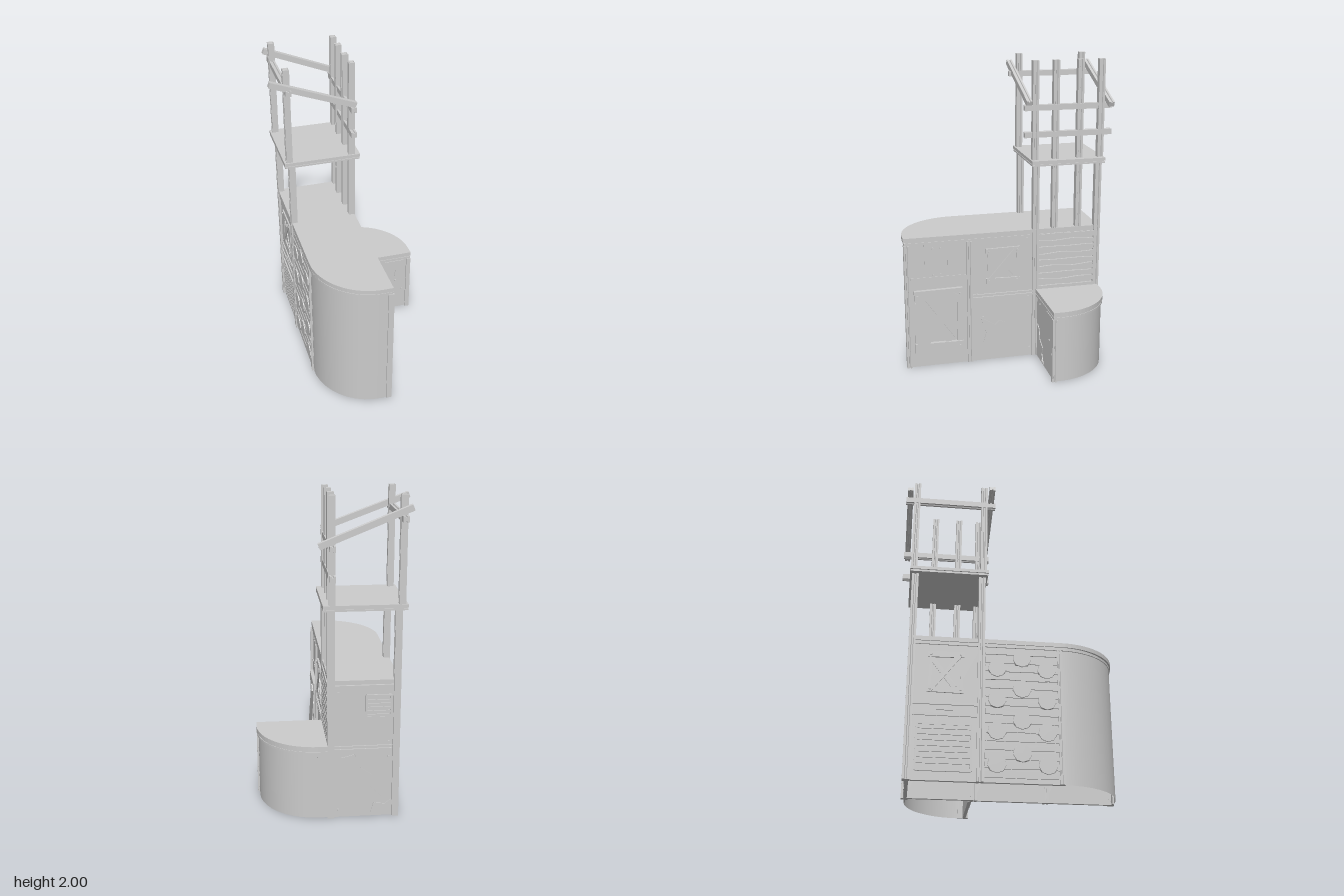
import * as THREE from 'three';

const grey = new THREE.MeshStandardMaterial({ color: 0xcccccc, flatShading: true });
const smooth = new THREE.MeshStandardMaterial({ color: 0xcccccc, side: THREE.DoubleSide });

function add(parent, name, geo, x = 0, y = 0, z = 0, mat = grey) {
  const m = new THREE.Mesh(geo, mat);
  m.name = name;
  m.position.set(x, y, z);
  parent.add(m);
  return m;
}

const box = (parent, name, w, h, d, x, y, z) => add(parent, name, new THREE.BoxGeometry(w, h, d), x, y, z);

const poly = (pts) => new THREE.Shape(pts.map(([x, y]) => new THREE.Vector2(x, y)));
const extrude = (shape, depth) =>
  new THREE.ExtrudeGeometry(shape, { depth, bevelEnabled: false, curveSegments: 9 });

// Grooved bar between two points; the groove runs along both x or both y sides of its section
function beam(parent, name, a, b, size = 0.04, grooveX = false) {
  const s = size / 2, t = s * 0.35, n = s * 0.6;
  let pts = [[-s, -s], [-t, -s], [-t * 0.6, -n], [t * 0.6, -n], [t, -s], [s, -s],
    [s, s], [t, s], [t * 0.6, n], [-t * 0.6, n], [-t, s], [-s, s]];
  if (grooveX) pts = pts.map(([x, y]) => [-y, x]);
  const from = new THREE.Vector3(...a), to = new THREE.Vector3(...b);
  const m = add(parent, name, extrude(poly(pts), from.distanceTo(to)), ...a);
  m.lookAt(to);
  return m;
}
const post = (parent, name, x, z, y0, y1, size) => beam(parent, name, [x, y0, z], [x, y1, z], size, true);

// Slab from a plan outline with a recessed middle band
function slab(parent, name, shape, y, h, cx, cz) {
  const g = new THREE.Group();
  g.name = name;
  for (const [y0, hh, s] of [[0, 0.3, 0.99], [0.3, 0.15, 0.97], [0.45, 0.55, 1]]) {
    const geo = extrude(shape, hh * h);
    geo.rotateX(Math.PI / 2);
    geo.translate(-cx, (y0 + hh) * h, -cz);
    geo.scale(s, 1, s);
    add(g, name + 'Layer', geo, cx, y, cz);
  }
  parent.add(g);
}

// Group whose local axes are across, up and outward from a wall
function face(parent, name, x, z, turn) {
  const g = new THREE.Group();
  g.name = name;
  g.position.set(x, 0, z);
  g.rotation.y = turn;
  parent.add(g);
  return g;
}

const panel = (g, name, u0, u1, v0, v1, out = 0, d = 0.02) =>
  box(g, name, u1 - u0, v1 - v0, d, (u0 + u1) / 2, (v0 + v1) / 2, out - d / 2);

function plank(g, name, a, b, w, d, out = 0) {
  const dx = b[0] - a[0], dy = b[1] - a[1];
  const m = box(g, name, Math.hypot(dx, dy), w, d, (a[0] + b[0]) / 2, (a[1] + b[1]) / 2, out + d / 2);
  m.rotation.z = Math.atan2(dy, dx);
}

function nails(g, pts, out = 0) {
  for (const [u, v] of pts) {
    const geo = new THREE.CylinderGeometry(0.006, 0.007, 0.006, 6);
    geo.rotateX(Math.PI / 2);
    add(g, 'nail', geo, u, v, out + 0.003);
  }
}

const brokenPlate = (g, pts) => add(g, 'crackedPlate', extrude(poly(pts), 0.005));

// Boarded-up window: crossed boards between two rails
function boardedWindow(g, u0, u1, v0, v1, rail, d) {
  const w = u1 - u0, h = v1 - v0, r = rail;
  plank(g, 'windowBackBoard', [u0 + w * 0.1, v1 - r], [u1 - w * 0.25, v0 + r], r * 0.9, d * 0.4);
  for (const k of [0.06, 0.94]) {
    plank(g, 'windowSideBoard', [u0 + w * k, v0 + r * 0.5], [u0 + w * (1 - (1 - k) * 0.96), v1 - r * 0.5], r * 0.5, d * 0.4);
  }
  plank(g, 'windowRail', [u0, v0 + r / 2], [u1, v0 + r / 2 - 0.004], r, d * 0.7);
  plank(g, 'windowRail', [u0, v1 - r / 2], [u1, v1 - r / 2 + 0.004], r, d * 0.7);
  plank(g, 'windowBrace', [u0 + w * 0.08, v0 + r * 0.4], [u1 - w * 0.13, v1 - r * 0.5], r * 0.9, d * 0.45, d * 0.55);
  nails(g, [[u0 + 0.02, v0 + r / 2], [u1 - 0.02, v0 + r / 2], [u0 + 0.02, v1 - r / 2], [u1 - 0.02, v1 - r / 2]], d * 0.7);
}

// Row of horizontal slats with gently uneven edges
function slats(g, u0, u1, v0, v1, n, wave, d = 0.012) {
  const step = (v1 - v0) / n;
  for (let i = 0; i < n; i++) {
    const pts = [], wob = wave * (i % 2 ? 1 : 0.3);
    const edge = (k, sign) => sign * step * 0.36 + wob * Math.sin(k * 1.1 + i * 2.3 + sign);
    for (let k = 0; k <= 8; k++) pts.push([u0 + (u1 - u0) * k / 8, edge(k, -1)]);
    for (let k = 8; k >= 0; k--) pts.push([u0 + (u1 - u0) * k / 8, edge(k, 1)]);
    add(g, 'slat', extrude(poly(pts), d), 0, v0 + step * (i + 0.5), 0);
  }
}

function vent(g, u0, u1, v0, v1, n) {
  for (const v of [v0, v1]) plank(g, 'ventFrame', [u0, v], [u1, v], 0.012, 0.01);
  for (const u of [u0, u1]) plank(g, 'ventFrame', [u, v0], [u, v1], 0.012, 0.01);
  slats(g, u0, u1, v0, v1, n, 0, 0.007);
}

// Quarter-round wall, open top and bottom
function roundWall(parent, name, rx, rz, h, start, x, z) {
  const geo = new THREE.CylinderGeometry(1, 1, h, 10, 1, true, start, Math.PI / 2);
  geo.scale(rx, 1, rz);
  add(parent, name, geo, x, h / 2, z, smooth);
}

export function createModel() {
  const root = new THREE.Group();
  root.name = 'counterWithTower';
  const H = Math.PI / 2;

  // Main counter top and rounded front
  const top = poly([[0.06, 0.69], [0.06, -0.62], [-0.37, -0.62], [-0.37, 0.3]]);
  top.absellipse(0, 0.3, 0.37, 0.39, Math.PI, H, true);
  slab(root, 'counterTop', top, 0.85, 0.05, -0.15, 0.03);
  roundWall(root, 'roundedFront', 0.36, 0.38, 0.86, 3 * H, 0, 0.3);
  box(root, 'frontStrip', 0.06, 0.86, 0.01, 0.03, 0.43, 0.675);

  // Low side counter
  const low = poly([[0.06, -0.19], [0.06, -0.62], [0.12, -0.62]]);
  low.absellipse(0.12, -0.25, 0.368, 0.37, -H, 0, false);
  low.lineTo(0.488, -0.19);
  slab(root, 'sideCounterTop', low, 0.43, 0.05, 0.25, -0.4);
  roundWall(root, 'sideCounterRound', 0.355, 0.36, 0.44, H, 0.12, -0.25);
  box(root, 'sideCounterBackStrip', 0.07, 0.44, 0.01, 0.09, 0.22, -0.605);
  box(root, 'sideCounterEndStrip', 0.01, 0.44, 0.06, 0.47, 0.22, -0.225);
  const sc = face(root, 'sideCounterFront', 0, -0.2, 0);
  panel(sc, 'sideCounterPanel', 0.06, 0.48, 0, 0.44);
  brokenPlate(sc, [[0.09, 0.01], [0.24, 0.01], [0.2, 0.07], [0.22, 0.12], [0.15, 0.15], [0.13, 0.22], [0.09, 0.24]]);
  brokenPlate(sc, [[0.44, 0.42], [0.3, 0.42], [0.33, 0.36], [0.38, 0.34], [0.37, 0.28], [0.44, 0.24]]);
  nails(sc, [[0.16, 0.41], [0.38, 0.25], [0.43, 0.17], [0.22, 0.03]], 0.005);
  post(root, 'sideCounterPost', 0.472, -0.2, 0, 0.43, 0.03);

  // Left side wall (across axis runs toward the back)
  const L = face(root, 'leftWall', 0.053, 0, H);
  panel(L, 'frontPanel', -0.675, -0.25, 0, 0.86);
  panel(L, 'middlePanel', -0.25, 0.19, 0, 0.86);
  panel(L, 'slatBacking', 0.19, 0.61, 0, 0.86, -0.008);
  for (const u of [-0.55, -0.4]) plank(L, 'panelBatten', [u, 0.63], [u, 0.85], 0.012, 0.004);
  plank(L, 'frontPanelRail', [-0.65, 0.62], [-0.28, 0.62], 0.012, 0.004);
  boardedWindow(L, -0.63, -0.31, 0.1, 0.54, 0.07, 0.035);
  boardedWindow(L, -0.15, 0.08, 0.55, 0.79, 0.035, 0.018);
  for (const v of [0.45, 0.47]) plank(L, 'middleRail', [-0.24, v], [0.17, v], 0.014, 0.01);
  brokenPlate(L, [[-0.19, 0.31], [-0.12, 0.27], [-0.09, 0.25], [-0.06, 0.28], [-0.02, 0.26],
    [0.03, 0.07], [-0.04, 0.02], [-0.13, 0.09], [-0.17, 0.13], [-0.15, 0.2]]);
  nails(L, [[-0.5, 0.82], [-0.45, 0.82], [-0.5, 0.64], [-0.45, 0.64], [-0.21, 0.48], [0.13, 0.84],
    [0.14, 0.43], [-0.17, 0.31], [0.01, 0.06], [0.15, 0.06]]);
  slats(L, 0.2, 0.6, 0.01, 0.87, 19, 0.005);

  // Right side wall (across axis runs toward the front)
  const R = face(root, 'rightWall', -0.36, 0, -H);
  panel(R, 'rearPanel', -0.61, -0.18, 0, 0.86);
  panel(R, 'discBacking', -0.18, 0.31, 0, 0.86);
  boardedWindow(R, -0.51, -0.29, 0.54, 0.8, 0.035, 0.013);
  for (const v of [0.4, 0.47]) plank(R, 'rearRail', [-0.6, v], [-0.2, v], 0.018, 0.008);
  plank(R, 'drawerHandle', [-0.45, 0.435], [-0.35, 0.435], 0.015, 0.008);
  vent(R, -0.56, -0.24, 0.06, 0.34, 8);
  slats(R, -0.16, 0.28, 0.02, 0.85, 15, 0.003, 0.008);
  for (let c = 0; c < 3; c++) {
    for (let r = 0; r < 4; r++) {
      const geo = new THREE.CylinderGeometry(0.055, 0.058, 0.014, 9);
      geo.rotateX(H);
      add(R, 'disc', geo, -0.09 + c * 0.15, 0.11 + r * 0.2 + (c % 2 ? 0.07 : 0), 0.007);
    }
  }

  // Back wall (across axis runs toward the right side)
  const B = face(root, 'backWall', 0, -0.612, Math.PI);
  panel(B, 'backPanel', -0.055, 0.365, 0, 0.86);
  for (const v of [0.45, 0.47]) plank(B, 'backRail', [-0.03, v], [0.34, v], 0.014, 0.008);
  vent(B, 0.17, 0.32, 0.66, 0.8, 6);
  brokenPlate(B, [[0.02, 0.4], [0.1, 0.42], [0.14, 0.33], [0.21, 0.28], [0.2, 0.2], [0.27, 0.13], [0.18, 0.15], [0.12, 0.22], [0.05, 0.27]]);
  brokenPlate(B, [[0.33, 0.02], [0.33, 0.11], [0.29, 0.08], [0.22, 0.09], [0.2, 0.02]]);
  nails(B, [[0, 0.82], [0.31, 0.5], [0, 0.05], [0.31, 0.4]]);

  // Trim posts on the main counter
  for (const z of [0.67, 0.26]) post(root, 'trimPost', 0.05, z, 0, 0.85, 0.036);
  post(root, 'trimPost', -0.36, 0.29, 0, 0.85, 0.025);

  // Tower corner posts: lower ones carry the platform, upper ones stand on it
  for (const z of [-0.187, -0.608]) {
    post(root, 'lowerPost', 0.045, z, 0, 1.335, 0.042);
    post(root, 'lowerPost', -0.354, z, 0, 1.335, 0.042);
  }
  for (const z of [-0.18, -0.618]) {
    post(root, 'upperPost', 0.042, z, 1.36, 2, 0.04);
    post(root, 'upperPost', -0.37, z, 1.36, 2, 0.04);
  }
  for (const z of [-0.317, -0.478]) post(root, 'middlePost', 0.038, z, 0.9, 2, 0.04);

  // Platform
  slab(root, 'platform', poly([[-0.405, -0.15], [0.095, -0.15], [0.095, -0.642], [-0.405, -0.642]]), 1.33, 0.036, -0.155, -0.396);

  // Rails and slanted bars
  for (const [x, y] of [[0.042, 1.53], [0.042, 1.703], [-0.37, 1.867]]) {
    beam(root, 'sideRail', [x, y, -0.69], [x, y, -0.108], 0.036);
  }
  beam(root, 'frontSlantedBar', [-0.483, 1.932, -0.138], [0.06, 1.73, -0.138], 0.036);
  beam(root, 'backSlantedBar', [-0.414, 1.932, -0.664], [0.12, 1.717, -0.664], 0.036);

  return root;
}
